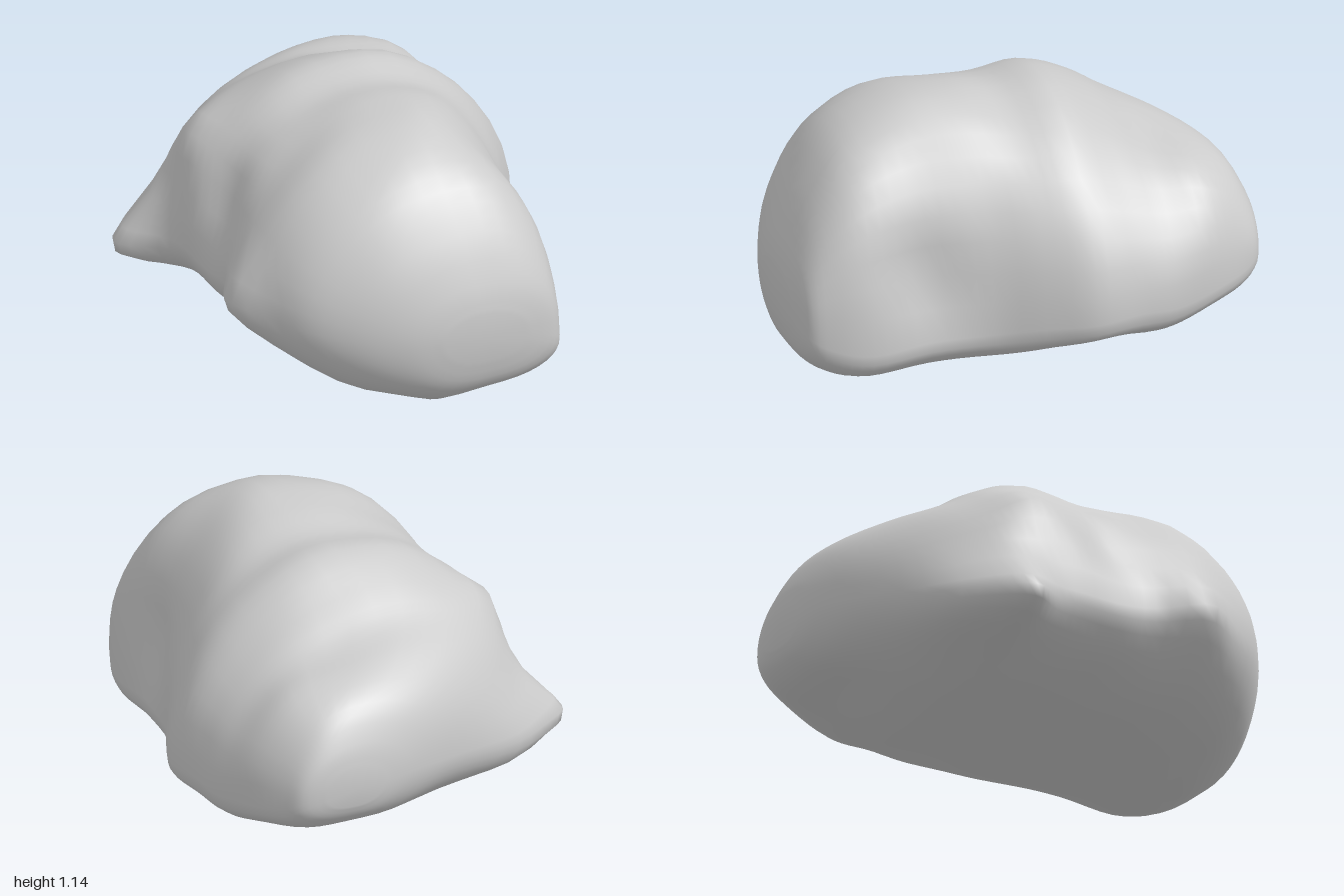
import * as THREE from 'three';

// Cross-sections from front to back:
// z, left x, right x, crest x, bottom y, top y, widest y left, widest y right, roundness left, roundness right
const SECTIONS = [
  [0.988, 0.0, 0.36, 0.17, 0.28, 0.5, 0.4, 0.38, 2, 2.2],
  [0.955, -0.15, 0.51, 0.15, 0.16, 0.62, 0.4, 0.3, 2, 2.6],
  [0.86, -0.36, 0.57, 0.12, 0.08, 0.82, 0.44, 0.25, 2, 2.6],
  [0.7, -0.55, 0.61, 0.1, 0.045, 1.02, 0.46, 0.23, 1.95, 2.3],
  [0.45, -0.65, 0.62, 0.1, 0.065, 1.135, 0.48, 0.25, 1.9, 1.95],
  [0.2, -0.64, 0.66, 0.1, 0.08, 1.14, 0.45, 0.27, 1.9, 2],
  [0.0, -0.65, 0.75, 0.08, 0.1, 1.11, 0.42, 0.3, 2, 2],
  [-0.2, -0.66, 0.83, 0.07, 0.1, 1.135, 0.42, 0.32, 2.05, 1.85],
  [-0.4, -0.64, 0.81, 0.04, 0.09, 1.04, 0.42, 0.33, 2.2, 1.95],
  [-0.55, -0.58, 0.79, 0.05, 0.13, 0.95, 0.42, 0.33, 2.2, 2.1],
  [-0.72, -0.43, 0.74, 0.14, 0.2, 0.89, 0.42, 0.36, 2, 2.3],
  [-0.88, -0.12, 0.66, 0.28, 0.27, 0.8, 0.45, 0.4, 2.1, 2.2],
  [-0.96, 0.1, 0.6, 0.35, 0.34, 0.67, 0.48, 0.45, 2.1, 2.1],
  [-0.988, 0.24, 0.5, 0.37, 0.4, 0.57, 0.48, 0.47, 2, 2],
];

// Local swellings and hollows: centre, radius, push
const BUMPS = [
  { at: [-0.63, 0.32, -0.5], r: 0.17, push: [-0.23, -0.045, 0] },    // low side spur
  { at: [-0.42, 0.3, -0.66], r: 0.2, push: [-0.1, -0.03, -0.02] },   // ledge behind the spur
  { at: [-0.5, 0.8, -0.35], r: 0.13, push: [-0.035, 0.035, 0] },     // upper knob above the spur
  { at: [-0.66, 0.47, 0.42], r: 0.15, push: [-0.07, 0, 0] },         // front side swelling
  { at: [0.52, 0.78, -0.74], r: 0.15, push: [0.01, 0.02, 0] },       // rear shoulder
  { at: [0.27, 0.88, -0.62], r: 0.12, push: [0, -0.025, 0] },        // dip beside the shoulder
  { at: [0.55, 0.52, 0.47], r: 0.17, push: [-0.06, 0, 0] },          // hollow behind the front ridge
  { at: [-0.58, 0.7, 0.02], r: 0.15, push: [0.04, 0, 0] },           // hollow between the lobes
  { at: [0.68, 0.13, -0.3], r: 0.2, push: [0, 0.05, 0] },            // undercut of the rear flank
  { at: [0.06, 0.04, 0.72], r: 0.13, push: [0, -0.04, 0] },          // foot underneath
];

// Smooth interpolation between neighbouring sections
function sectionAt(t) {
  const last = SECTIONS.length - 1;
  const i = Math.min(Math.floor(t), last - 1);
  const f = t - i;
  const row = (k) => SECTIONS[THREE.MathUtils.clamp(k, 0, last)];
  return SECTIONS[0].map((_, c) => {
    const [p0, p1, p2, p3] = [row(i - 1)[c], row(i)[c], row(i + 1)[c], row(i + 2)[c]];
    const m1 = (p2 - p0) / 2;
    const m2 = (p3 - p1) / 2;
    return p1 + f * (m1 + f * (3 * (p2 - p1) - 2 * m1 - m2 + f * (2 * (p1 - p2) + m1 + m2)));
  });
}

// Point on a lopsided superellipse
function outlinePoint(section, angle) {
  const [z, xL, xR, crest, yB, yT, yL, yR, nL, nR] = section;
  const c = Math.cos(angle);
  const s = Math.sin(angle);
  const right = c >= 0;
  const top = s >= 0;
  const n = top ? (right ? nR : nL) : (right ? 2.6 : 2);
  const sideY = right ? yR : yL;
  const x = crest + ((right ? xR : xL) - crest) * Math.abs(c) ** (2 / n);
  const y = sideY + ((top ? yT : yB) - sideY) * Math.abs(s) ** (2 / n);
  return new THREE.Vector3(x, y, z);
}

// Swellings plus gentle weathering
function weather(p) {
  const q = p.clone();
  for (const { at, r, push } of BUMPS) {
    const d2 = q.distanceToSquared(new THREE.Vector3(...at));
    p.addScaledVector(new THREE.Vector3(...push), Math.exp(-d2 / (r * r)));
  }
  p.x += 0.006 * Math.sin(11 * q.y + 7 * q.z) * Math.sin(9 * q.z + 1);
  p.y += 0.005 * Math.sin(10 * q.x + 2) * Math.sin(12 * q.z + 5 * q.x);
  return p;
}

function boulderGeometry(sides = 40, rings = 52) {
  const pos = [];
  const index = [];
  for (let i = 0; i <= rings; i++) {
    const section = sectionAt((i / rings) * (SECTIONS.length - 1));
    for (let j = 0; j < sides; j++) {
      pos.push(...weather(outlinePoint(section, (j / sides) * Math.PI * 2)).toArray());
    }
  }
  // Slightly domed ends
  const front = (rings + 1) * sides;
  const back = front + 1;
  for (const [s, z] of [[SECTIONS[0], 1], [SECTIONS.at(-1), -1]]) {
    pos.push((s[1] + s[2]) / 2, (s[4] + s[5]) / 2, z);
  }
  for (let j = 0; j < sides; j++) {
    const k = (j + 1) % sides;
    for (let i = 0; i < rings; i++) {
      const a = i * sides + j;
      const b = i * sides + k;
      index.push(a, a + sides, b, b, a + sides, b + sides);
    }
    index.push(front, j, k, back, rings * sides + k, rings * sides + j);
  }
  const geo = new THREE.BufferGeometry();
  geo.setAttribute('position', new THREE.Float32BufferAttribute(pos, 3));
  geo.setIndex(index);
  // Rest on the ground
  geo.computeBoundingBox();
  geo.translate(0, -geo.boundingBox.min.y, 0);
  geo.computeVertexNormals();
  return geo;
}

export function createModel() {
  const group = new THREE.Group();
  group.name = 'rock';
  const boulder = new THREE.Mesh(boulderGeometry(), new THREE.MeshStandardMaterial({ color: 0xcccccc }));
  boulder.name = 'boulder';
  group.add(boulder);
  return group;
}
